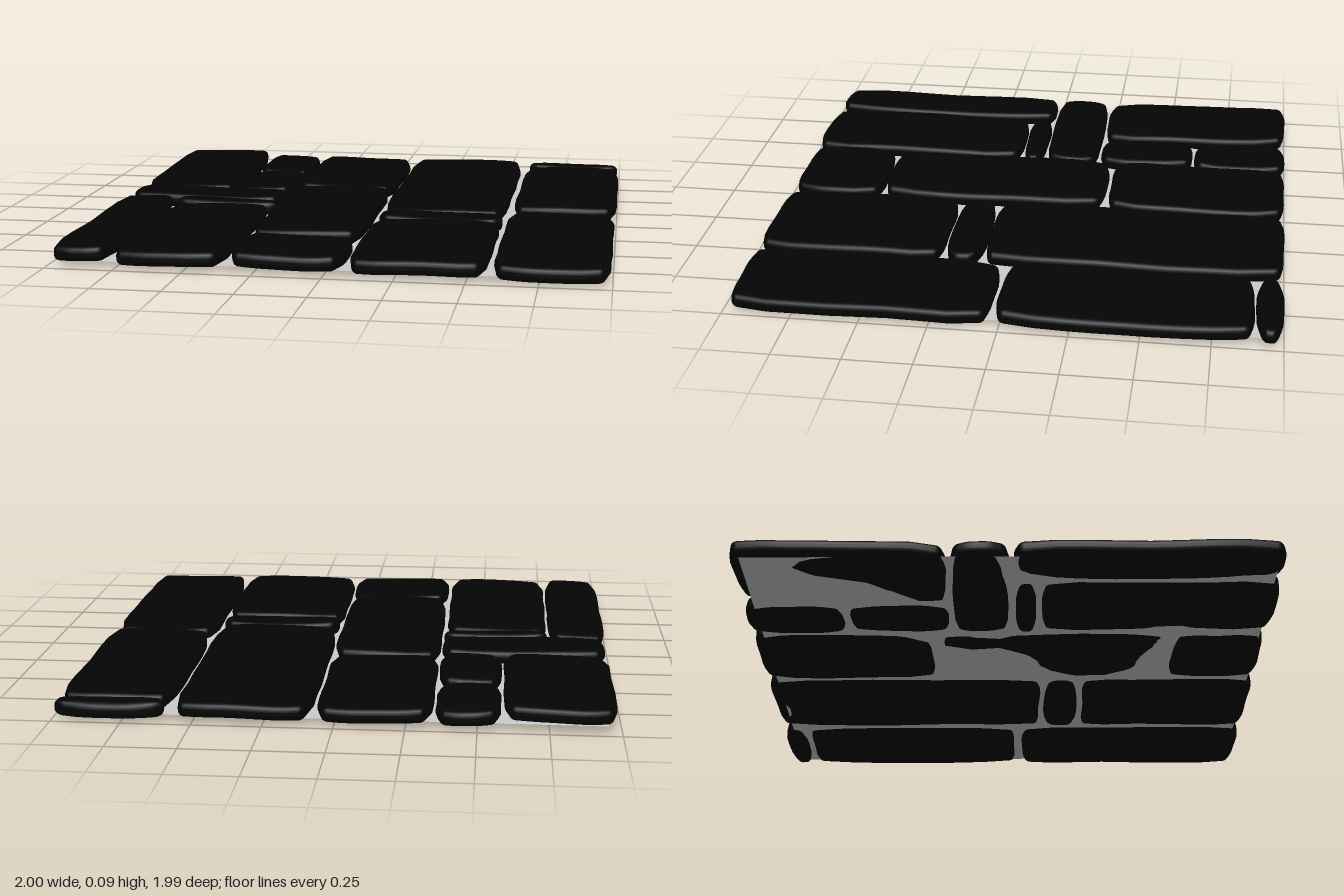
import * as THREE from 'three';
import { mergeVertices } from 'three/addons/utils/BufferGeometryUtils.js';

// Plan of the paving: [x0, x1, z0, z1, bottom y, slope along z]
const STONES = [
  [-0.99, -0.59, -1.0, -0.225, 0.03, -0.03],
  [-0.585, -0.35, -1.0, -0.622, 0.022, 0],
  [-0.585, -0.35, -0.617, -0.225, 0.02, 0],
  [-0.985, -0.35, -0.22, 0.003, 0.022, 0],
  [-1.0, -0.77, 0.01, 0.98, 0.022, 0],
  [-0.765, -0.35, 0.008, 0.103, 0.022, 0],
  [-0.765, -0.358, 0.107, 0.99, 0.022, 0],
  [-0.345, 0.067, -1.0, -0.295, 0.022, 0],
  [-0.345, 0.07, -0.285, 0.612, 0.027, 0],
  [-0.345, 0.07, 0.62, 0.98, 0.022, 0],
  [0.08, 0.568, -1.0, 0.122, 0.022, 0],
  [0.085, 0.57, 0.124, 0.273, 0.022, 0],
  [0.08, 0.57, 0.278, 0.985, 0.022, 0],
  [0.6, 0.992, -1.0, -0.9, 0.02, 0],
  [0.588, 1.0, -0.897, 0.018, 0.018, 0],
  [0.585, 0.995, 0.035, 0.985, 0.015, 0],
];
const THICK = 0.063;
const SEG = 14, ROUND = 3; // grid per side, rows spent on each rounded edge

// Spread grid lines so the outer rows fall inside the rounded edge
function spread(t, half, r) {
  const i = (Math.abs(t) * SEG) / 2, inner = SEG / 2 - ROUND;
  const d = i <= inner ? (i / inner) * (half - r) : half - r + ((i - inner) / ROUND) * r;
  return Math.sign(t) * d;
}

// Worn slab: rounded edges, pinched corners and a gently uneven surface
function stoneGeometry(w, d, seed, slope) {
  const box = new THREE.BoxGeometry(2, 2, 2, SEG, SEG, SEG);
  box.deleteAttribute('uv');
  box.deleteAttribute('normal');
  const geo = mergeVertices(box);
  const half = new THREE.Vector3(w / 2, THICK / 2, d / 2);
  const r = 0.024;
  const pos = geo.attributes.position;
  const p = new THREE.Vector3(), core = new THREE.Vector3();
  const pinch = (v, h) => THREE.MathUtils.smoothstep(Math.abs(v), h - Math.min(0.11, h * 0.7), h);
  for (let i = 0; i < pos.count; i++) {
    p.fromBufferAttribute(pos, i);
    p.set(spread(p.x, half.x, r), spread(p.y, half.y, r), spread(p.z, half.z, r));
    core.set(
      THREE.MathUtils.clamp(p.x, r - half.x, half.x - r),
      THREE.MathUtils.clamp(p.y, r - half.y, half.y - r),
      THREE.MathUtils.clamp(p.z, r - half.z, half.z - r));
    p.sub(core).setLength(r).add(core);

    const { x, y, z } = p;
    const nearX = pinch(x, half.x), nearZ = pinch(z, half.z);
    p.x -= (x / half.x) * (0.02 * nearZ + 0.004 * (1 + Math.sin(z * 17 + seed)) * 0.5);
    p.z -= (z / half.z) * (0.014 * nearX + 0.004 * (1 + Math.sin(x * 15 + seed * 2)) * 0.5);
    p.y = y * (1 - 0.12 * Math.max(nearX, nearZ));
    p.y += 0.003 * Math.sin(x * 9 + seed * 1.7) + 0.003 * Math.sin(z * 8 + seed * 2.3);
    p.y += slope * z;
    pos.setXYZ(i, p.x, p.y, p.z);
  }
  geo.computeVertexNormals();
  return geo;
}

export function createModel() {
  const group = new THREE.Group();
  group.name = 'pavingTile';

  // Mortar sheet showing in the joints
  const mortar = new THREE.Mesh(
    new THREE.PlaneGeometry(1.91, 1.91),
    new THREE.MeshStandardMaterial({ color: 0xcccccc, side: THREE.DoubleSide }));
  mortar.name = 'mortar';
  mortar.rotation.x = -Math.PI / 2;
  mortar.position.y = 0.03;
  group.add(mortar);

  // Dark paving stones
  const dark = new THREE.MeshStandardMaterial({ color: 0x040404 });
  STONES.forEach(([x0, x1, z0, z1, bottom, slope], i) => {
    const stone = new THREE.Mesh(stoneGeometry(x1 - x0, z1 - z0, i * 1.9, slope), dark);
    stone.name = `stone${i + 1}`;
    stone.position.set((x0 + x1) / 2, bottom + THICK / 2, (z0 + z1) / 2);
    group.add(stone);
  });
  return group;
}
